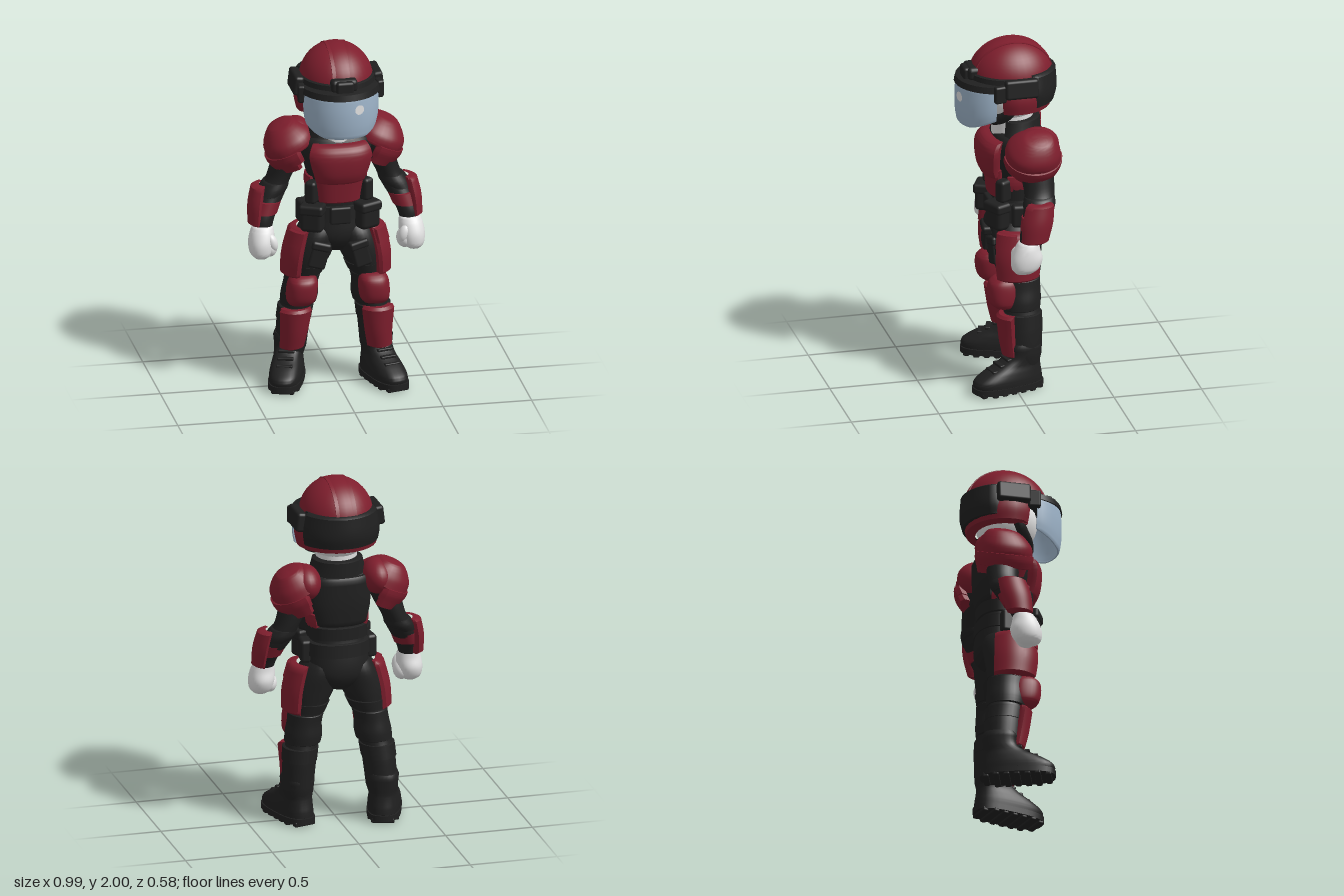
import * as THREE from 'three';
import { toCreasedNormals } from 'three/addons/utils/BufferGeometryUtils.js';
import { RoundedBoxGeometry } from 'three/addons/geometries/RoundedBoxGeometry.js';

const material = (name, color, side = THREE.FrontSide) => {
  const m = new THREE.MeshStandardMaterial({ color, side });
  m.name = name;
  return m;
};

// Loft through level sections [x, y, z, rx, rz], listed bottom to top.
// Angle 0 faces +z and 90 faces +x. A partial range makes a plate of depth t with a rounded rim.
function loft(secs, { s = 1, a0 = -180, a1 = 180, t = 0.03, p = 2 } = {}) {
  const full = a1 - a0 >= 360;
  if (s < 0) [a0, a1] = [-a1, -a0];
  const centre = new THREE.CatmullRomCurve3(secs.map(q => new THREE.Vector3(q[0] * s, q[1], q[2])));
  const radius = new THREE.CatmullRomCurve3(secs.map(q => new THREE.Vector3(q[3], q[4], q[1])));
  const steps = (n, end, rim) => {
    const list = [[0, end], [0, rim]];
    for (let i = 0; i <= n; i++) list.push([0.05 + 0.9 * i / n, 0]);
    return [...list, [1, rim], [1, end]];
  };
  const rows = steps(secs.length * 4, full ? 1 : t, t * 0.35);
  const cols = full ? Array.from({ length: 33 }, (_, i) => [i / 32, 0]) : steps(16, t, t * 0.35);
  const pow = v => Math.sign(v) * Math.abs(v) ** (2 / p);
  const pos = [], index = [], w = cols.length;
  rows.forEach(([v, dv], i) => {
    const c = centre.getPoint(v), r = radius.getPoint(v);
    cols.forEach(([u, du], j) => {
      const a = THREE.MathUtils.degToRad(a0 + (a1 - a0) * u), d = Math.max(du, dv);
      pos.push(c.x + Math.max(0, r.x - d) * pow(Math.sin(a)), c.y, c.z + Math.max(0, r.y - d) * pow(Math.cos(a)));
      if (i && j) {
        const k = i * w + j, b = k - w;
        index.push(b - 1, b, k, b - 1, k, k - 1);
      }
    });
  });
  const g = new THREE.BufferGeometry();
  g.setAttribute('position', new THREE.Float32BufferAttribute(pos, 3));
  g.setIndex(index);
  return toCreasedNormals(g, 0.75);
}

export function createModel() {
  const red = material('armour red', 0x7e1e2d);
  const black = material('suit black', 0x202020);
  const white = material('glove white', 0xe2e2e2);
  const glass = material('visor blue', 0x9db3c8, THREE.DoubleSide);
  const model = new THREE.Group();
  model.name = 'armouredFigure';

  const add = (name, mat, geo, parent = model) => {
    const mesh = new THREE.Mesh(geo, mat);
    mesh.name = name;
    parent.add(mesh);
    return mesh;
  };
  const box = (name, mat, size, at, ry = 0, rz = 0, parent = model) => {
    const m = add(name, mat, new RoundedBoxGeometry(...size, 2, Math.min(...size) * 0.3), parent);
    m.position.set(...at);
    m.rotation.set(0, ry, rz);
    return m;
  };
  const ball = (name, mat, r, at) => {
    const m = add(name, mat, new THREE.SphereGeometry(1, 28, 18));
    m.scale.set(...r);
    m.position.set(...at);
    return m;
  };

  // Torso
  add('torso', black, loft([[0, 0.79, -0.06, 0.07, 0.1], [0, 0.88, -0.06, 0.17, 0.145], [0, 1, -0.06, 0.168, 0.14],
    [0, 1.1, -0.05, 0.15, 0.13], [0, 1.2, -0.05, 0.155, 0.13], [0, 1.35, -0.05, 0.195, 0.145],
    [0, 1.43, -0.06, 0.2, 0.14], [0, 1.47, -0.06, 0.16, 0.12]], { p: 2.3 }));
  add('collar', black, loft([[0, 1.43, -0.05, 0.175, 0.145], [0, 1.49, -0.055, 0.155, 0.14], [0, 1.55, -0.06, 0.14, 0.135]],
    { a0: 50, a1: 310, t: 0.04 }));
  add('abdomenPlate', red, loft([[0, 1.09, -0.05, 0.145, 0.15], [0, 1.18, -0.05, 0.16, 0.16], [0, 1.27, -0.05, 0.18, 0.17]],
    { a0: -52, a1: 52, p: 2.6 }));
  add('chestPlate', red, loft([[0, 1.21, -0.05, 0.165, 0.18], [0, 1.27, -0.05, 0.19, 0.205], [0, 1.37, -0.05, 0.222, 0.212],
    [0, 1.41, -0.05, 0.215, 0.2], [0, 1.44, -0.05, 0.195, 0.17]], { a0: -53, a1: 53, p: 2.6, t: 0.05 }));
  add('backPlate', black, loft([[0, 1.17, -0.05, 0.17, 0.145], [0, 1.3, -0.05, 0.2, 0.16], [0, 1.46, -0.06, 0.19, 0.155]],
    { a0: 125, a1: 235, p: 2.5 }));
  add('waistBand', black, loft([[0, 1.09, -0.05, 0.17, 0.145], [0, 1.165, -0.05, 0.172, 0.148]], { a0: 65, a1: 295, p: 2.3 }));
  add('belt', black, loft([[0, 0.99, -0.055, 0.183, 0.152], [0, 1.07, -0.055, 0.178, 0.148]], { p: 2.3 }));
  box('buckle', black, [0.12, 0.1, 0.04], [0, 1.02, 0.09]);

  // Head and helmet
  add('neck', white, loft([[0, 1.44, -0.04, 0.108, 0.115], [0, 1.5, -0.04, 0.112, 0.115], [0, 1.62, -0.04, 0.12, 0.12]]));
  ball('head', white, [0.165, 0.17, 0.175], [0, 1.69, -0.03]);
  const strap = [[0.175, 1.66, -0.01], [0.15, 1.6, 0.025], [0.08, 1.555, 0.075], [0, 1.54, 0.095]];
  const strapPath = [...strap, ...strap.slice(0, 3).reverse().map(([x, y, z]) => [-x, y, z])];
  add('chinStrap', black, new THREE.TubeGeometry(
    new THREE.CatmullRomCurve3(strapPath.map(q => new THREE.Vector3(...q))), 32, 0.03, 10));
  const dome = add('helmetDome', red, new THREE.SphereGeometry(1, 36, 16, 0, Math.PI * 2, 0, Math.PI * 0.54));
  dome.scale.set(0.206, 0.21, 0.235);
  dome.position.set(0, 1.79, -0.035);
  // raised edges of the central dome panel
  const ridge = add('helmetRidge', red, new THREE.CylinderGeometry(1, 1, 0.12, 40, 1, false, 0, Math.PI).rotateZ(Math.PI / 2));
  ridge.scale.set(1, 0.2055, 0.23);
  ridge.position.copy(dome.position);
  add('helmetSkirt', red, loft([[0, 1.62, -0.04, 0.222, 0.21], [0, 1.7, -0.04, 0.235, 0.23], [0, 1.8, -0.04, 0.215, 0.235]],
    { a0: 62, a1: 298, t: 0.05 }));
  add('helmetBand', black, loft([[0, 1.75, -0.02, 0.222, 0.24], [0, 1.835, -0.025, 0.212, 0.235]]));
  add('helmetBackCover', black, loft([[0, 1.65, -0.04, 0.232, 0.232], [0, 1.72, -0.04, 0.243, 0.248], [0, 1.845, -0.04, 0.224, 0.242]],
    { a0: 108, a1: 252, t: 0.05 }));
  add('visorBrim', black, loft([[0, 1.765, 0.05, 0.228, 0.236], [0, 1.802, 0.045, 0.222, 0.232]], { t: 0.015 }));
  box('browMount', black, [0.15, 0.075, 0.09], [0, 1.83, 0.18]);
  box('browClip', black, [0.1, 0.075, 0.05], [0, 1.825, 0.222]);
  const visor = loft([[0, 1.535, 0.06, 0.206, 0.21], [0, 1.6, 0.06, 0.216, 0.22], [0, 1.68, 0.06, 0.219, 0.223],
    [0, 1.78, 0.06, 0.216, 0.216]], { a0: -80, a1: 80, t: 0.012 });
  // lower edge of the visor rises towards the sides
  const vp = visor.attributes.position;
  for (let i = 0; i < vp.count; i++) {
    const y = vp.getY(i);
    vp.setY(i, y + (1.78 - y) / 0.245 * 0.43 * Math.max(0, 0.23 - vp.getZ(i)));
  }
  add('visor', glass, visor);
  const glint = add('visorGlint', white, new THREE.CircleGeometry(0.028, 20));
  glint.position.set(0.072, 1.71, 0.278);
  glint.rotation.y = 0.33;

  for (const s of [1, -1]) {
    const side = s > 0 ? 'left' : 'right';
    const part = (name, mat, secs, o = {}) => add(side + name, mat, loft(secs, { ...o, s }));
    const pouch = (name, size, [x, y, z], ry = 0, rz = 0) => box(side + name, black, size, [x * s, y, z], ry * s, rz * s);

    // Helmet ear pods
    pouch('EarPod', [0.055, 0.11, 0.19], [0.226, 1.785, -0.04], 0, 0.12);
    pouch('VisorHinge', [0.04, 0.1, 0.07], [0.22, 1.76, 0.08], 0.15);

    // Waist details
    part('WaistPanel', red, [[0, 1.14, -0.05, 0.168, 0.142], [0, 1.19, -0.05, 0.176, 0.15], [0, 1.235, -0.05, 0.172, 0.14]],
      { a0: 60, a1: 130, p: 2.3 });
    pouch('WaistClip', [0.065, 0.13, 0.08], [0.15, 1.155, 0.045], 0.6);
    pouch('FrontPouch', [0.13, 0.15, 0.09], [0.155, 1.01, 0.08], 0.45);
    pouch('FrontPouchFlap', [0.14, 0.06, 0.1], [0.156, 1.065, 0.082], 0.45);
    pouch('SidePouch', [0.06, 0.13, 0.11], [0.185, 1.01, -0.05], -0.1);

    // Shoulder armour: overlapping layers tilted outwards
    ball(side + 'ShoulderInnerPad', red, [0.085, 0.1, 0.125], [0.205 * s, 1.437, -0.132]);
    const shoulder = new THREE.Group();
    shoulder.name = side + 'Shoulder';
    shoulder.position.set(0.25 * s, 1.4, -0.1);
    shoulder.rotation.z = -0.45 * s;
    model.add(shoulder);
    add('shoulderCap', red, loft([[0, -0.02, 0, 0.148, 0.158], [0, 0.04, 0, 0.14, 0.148], [0, 0.09, -0.01, 0.105, 0.115],
      [0, 0.12, -0.02, 0.07, 0.08], [0, 0.132, -0.025, 0.03, 0.03]], { s, p: 2.2 }), shoulder);
    add('shoulderBand', red, loft([[0, -0.085, 0, 0.146, 0.152], [0, -0.04, 0, 0.158, 0.164], [0, -0.005, 0, 0.158, 0.164]],
      { s, a0: -12, a1: 192, t: 0.05 }), shoulder);
    add('shoulderLowerBand', red, loft([[0, -0.125, -0.01, 0.122, 0.13], [0, -0.06, -0.01, 0.14, 0.148]],
      { s, a0: 0, a1: 190, t: 0.05 }), shoulder);

    // Arm
    part('Arm', black, [[0.415, 0.92, -0.035, 0.05, 0.05], [0.408, 0.98, -0.05, 0.06, 0.062], [0.382, 1.05, -0.08, 0.069, 0.075],
      [0.342, 1.13, -0.11, 0.074, 0.082], [0.308, 1.2, -0.12, 0.068, 0.085], [0.268, 1.3, -0.115, 0.08, 0.095], [0.235, 1.4, -0.1, 0.085, 0.1]]);
    part('ElbowWrap', black, [[0.37, 1.1, -0.1, 0.07, 0.082], [0.343, 1.14, -0.112, 0.082, 0.09], [0.322, 1.18, -0.118, 0.072, 0.085]]);
    part('ForearmBand', red, [[0.398, 1.01, -0.065, 0.07, 0.073], [0.374, 1.08, -0.088, 0.076, 0.082]]);
    part('ForearmGuard', red, [[0.415, 0.945, -0.06, 0.078, 0.085], [0.4, 1.06, -0.08, 0.09, 0.098], [0.382, 1.165, -0.1, 0.085, 0.09]],
      { a0: 20, a1: 160, t: 0.045 });

    // Fist
    part('Fist', white, [[0.432, 0.765, 0, 0.03, 0.04], [0.43, 0.795, -0.01, 0.06, 0.075], [0.427, 0.85, -0.02, 0.07, 0.088],
      [0.42, 0.91, -0.025, 0.067, 0.07], [0.415, 0.95, -0.035, 0.055, 0.055]], { p: 2.2 });
    ball(side + 'Fingers', white, [0.045, 0.056, 0.062], [0.382 * s, 0.825, -0.01]);
    ball(side + 'Thumb', white, [0.03, 0.052, 0.032], [0.372 * s, 0.86, 0.025]).rotation.z = -0.3 * s;

    // Leg: the right one stands a little further back and out
    const [dx, dz] = s > 0 ? [0, 0] : [0.02, -0.075];
    const put = ([x, y, z, ...r]) => [x + dx * (1 - y / 0.95), y, z + dz * (1 - y / 0.95), ...r];
    const legPart = (name, mat, secs, o) => part(name, mat, secs.map(put), o);
    legPart('Leg', black, [[0.228, 0.15, -0.05, 0.085, 0.098], [0.222, 0.28, -0.05, 0.09, 0.105], [0.212, 0.4, -0.05, 0.092, 0.108],
      [0.198, 0.49, -0.045, 0.086, 0.1], [0.19, 0.57, -0.045, 0.086, 0.105], [0.168, 0.67, -0.035, 0.096, 0.118],
      [0.14, 0.78, -0.035, 0.124, 0.135], [0.11, 0.89, -0.045, 0.112, 0.14], [0.09, 0.97, -0.06, 0.08, 0.11]]);
    legPart('KneeWrap', black, [[0.197, 0.465, -0.042, 0.1, 0.108], [0.19, 0.52, -0.042, 0.104, 0.114], [0.185, 0.59, -0.042, 0.096, 0.112],
      [0.175, 0.65, -0.04, 0.1, 0.116]]);
    legPart('ThighCuff', black, [[0.168, 0.655, -0.038, 0.1, 0.118], [0.155, 0.71, -0.037, 0.112, 0.13]]);
    legPart('BootCuff', black, [[0.216, 0.37, -0.05, 0.098, 0.11], [0.208, 0.45, -0.045, 0.1, 0.112]]);
    legPart('KneePad', red, [[0.203, 0.48, 0.05, 0.058, 0.05], [0.2, 0.51, 0.055, 0.08, 0.08], [0.197, 0.57, 0.055, 0.086, 0.092],
      [0.193, 0.63, 0.055, 0.08, 0.082], [0.19, 0.66, 0.05, 0.06, 0.05]], { p: 2.4 });
    legPart('ShinGuard', red, [[0.236, 0.2, -0.04, 0.083, 0.112], [0.227, 0.3, -0.04, 0.094, 0.13], [0.223, 0.45, -0.03, 0.112, 0.133]],
      { a0: -62, a1: 62, t: 0.045 });
    legPart('ThighPlate', red, [[0.17, 0.65, -0.02, 0.137, 0.144], [0.155, 0.78, -0.02, 0.148, 0.152], [0.13, 0.93, -0.03, 0.138, 0.14]],
      { a0: 25, a1: 150, t: 0.045 });
    legPart('ThighFlap', red, [[0.145, 0.84, -0.025, 0.152, 0.155], [0.13, 0.925, -0.03, 0.145, 0.148]], { a0: 28, a1: 80 });
    pouch('ThighPouch', [0.1, 0.15, 0.05], put([0.115, 0.785, 0.088]), 0.1, 0.25);
    pouch('ThighPouchFlap', [0.11, 0.05, 0.06], put([0.103, 0.84, 0.088]), 0.1, 0.25);

    // Boot, toes turned out
    const boot = new THREE.Group();
    boot.name = side + 'Boot';
    const [bx, , bz] = put([0.228, 0, -0.05]);
    boot.position.set(bx * s, 0, bz);
    boot.rotation.y = s * (s > 0 ? 0.26 : 0.32);
    model.add(boot);
    add('bootUpper', black, loft([[0, 0.04, 0.1, 0.092, 0.206], [0, 0.08, 0.1, 0.092, 0.204], [0, 0.12, 0.075, 0.086, 0.172],
      [0, 0.16, 0.035, 0.078, 0.127], [0, 0.2, 0.005, 0.08, 0.1], [0, 0.28, 0, 0.088, 0.103]], { p: 2.6 }), boot);
    add('bootSole', black, loft([[0, 0.015, 0.1, 0.096, 0.211], [0, 0.05, 0.1, 0.096, 0.211]], { p: 2.8 }), boot);
    for (let i = 0; i < 7; i++)
      box('soleLug', black, [i % 6 ? 0.175 : 0.13, 0.03, 0.035], [0, 0.015, -0.075 + i * 0.058], 0, 0, boot);
    for (let i = 0; i < 3; i++)
      box('bootLace', black, [0.09, 0.016, 0.03], [0, 0.135 + i * 0.028, 0.2 - i * 0.045], 0, 0, boot);
  }
  return model;
}
